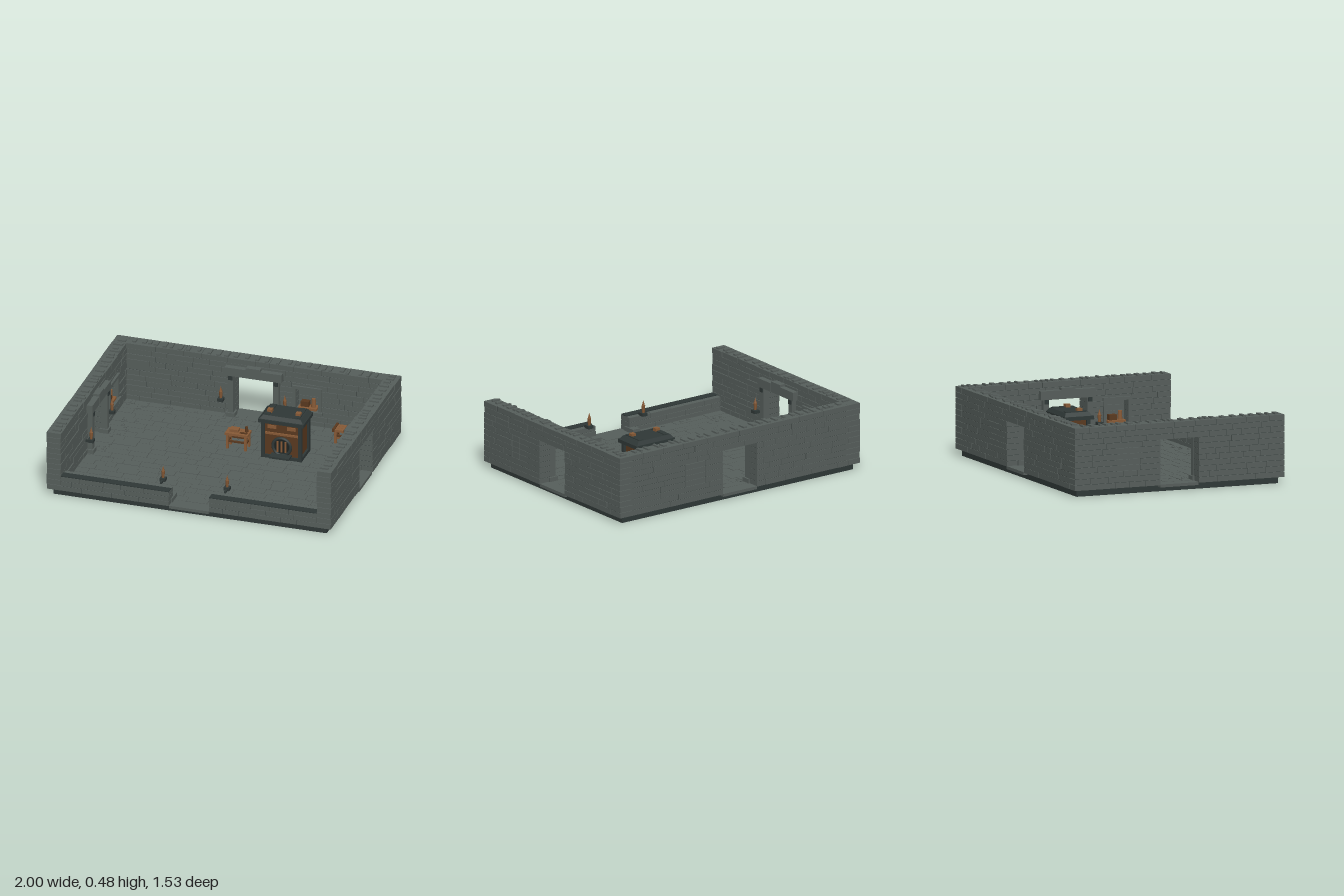
import * as THREE from 'three';
import { mergeGeometries } from 'three/addons/utils/BufferGeometryUtils.js';

const mat = (name, color) => Object.assign(new THREE.MeshStandardMaterial({ color }), { name });

export function createModel() {
  const M = {
    stone: mat('stone', 0x565e5b),
    mortar: mat('mortar', 0x3c4442),
    slate: mat('dark slate', 0x2f3837),
    wood: mat('wood', 0x875a36),
    darkWood: mat('dark wood', 0x5a391f),
    soot: mat('soot', 0x1c2221),
  };
  let seed = 7;
  const rnd = (a = 0, b = 1) => {
    seed = (seed * 16807) % 2147483647;
    return a + (b - a) * (seed / 2147483647);
  };
  const boxGeo = (x0, x1, y0, y1, z0, z1) =>
    new THREE.BoxGeometry(x1 - x0, y1 - y0, z1 - z0).translate((x0 + x1) / 2, (y0 + y1) / 2, (z0 + z1) / 2);
  const add = (parent, name, material, geo) => {
    const m = new THREE.Mesh(geo, material);
    m.name = name;
    parent.add(m);
    return m;
  };
  const box = (parent, name, material, ...b) => add(parent, name, material, boxGeo(...b));
  const group = (parent, name) => {
    const g = new THREE.Group();
    g.name = name;
    parent.add(g);
    return g;
  };

  const model = new THREE.Group();
  model.name = 'stoneRoom';
  const BASE = 0.045, DOOR = 0.14, NICHE = [0.29, 0.45];

  // Foundation and flagstone floor
  box(model, 'foundation', M.slate, -0.96, 0.96, 0, BASE, -0.735, 0.735);
  box(model, 'floorBed', M.stone, -0.91, 0.91, 0.04, 0.048, -0.68, 0.68);
  const tiles = [];
  for (let z = -0.67; z < 0.66; z += 0.067) {
    for (let x = -0.9; x < 0.89;) {
      const x1 = Math.min(0.9, x + rnd(0.07, 0.17));
      tiles.push(boxGeo(x, x1 - 0.003, 0.044, rnd(0.05, 0.053), z, z + 0.064));
      x = x1;
    }
  }
  add(model, 'flagstones', M.stone, mergeGeometries(tiles));
  // Small loose chips gathered near the edges
  const chips = [];
  for (let i = 0; i < 70; i++) {
    let x = rnd(-0.87, 0.87), z = rnd(-0.64, 0.64);
    if (i % 2) x = Math.sign(x) * rnd(0.72, 0.87);
    else z = Math.sign(z) * rnd(0.55, 0.64);
    const w = rnd(0.008, 0.015);
    chips.push(boxGeo(x - w, x + w, 0.046, 0.057, z - 0.007, z + 0.007));
  }
  add(model, 'floorChips', M.stone, mergeGeometries(chips));
  // Thresholds in the four doorways
  for (const s of [-1, 1]) {
    box(model, 'sideThreshold', M.stone, s * 0.945 - 0.05, s * 0.945 + 0.05, 0.03, 0.05, -DOOR, DOOR);
    box(model, 'endThreshold', M.stone, -DOOR, DOOR, 0.03, 0.05, s * 0.715 - 0.05, s * 0.715 + 0.05);
  }

  // Wall torch on a dark bracket, in wall space (inside is +z)
  function torch(parent, x) {
    const t = group(parent, 'torch');
    box(t, 'torchArm', M.slate, x - 0.007, x + 0.007, 0.157, 0.171, 0.04, 0.09);
    box(t, 'torchCup', M.slate, x - 0.02, x + 0.02, 0.16, 0.182, 0.07, 0.11);
    add(t, 'torchHandle', M.wood, new THREE.CylinderGeometry(0.013, 0.009, 0.05, 6).translate(x, 0.205, 0.09));
    add(t, 'torchTip', M.wood, new THREE.ConeGeometry(0.011, 0.04, 6).translate(x, 0.25, 0.09));
  }

  // One wall of bricks along x, 0.1 thick, with a doorway and optional wall niche
  function wall(name, half, rows, rowH, tall) {
    const w = group(model, name), top = BASE + rows * rowH;
    const doorTop = tall ? BASE + 8 * rowH : top, n0 = BASE + 3 * rowH, n1 = BASE + 7 * rowH;
    // Mortar core
    const rect = (P, a, b, c, d) => new P([[a, c], [b, c], [b, d], [a, d]].map(p => new THREE.Vector2(...p)));
    const pieces = [];
    if (tall) {
      const s = rect(THREE.Shape, -half + 0.01, half - 0.01, BASE, top - 0.004);
      s.holes.push(rect(THREE.Path, -DOOR - 0.004, DOOR + 0.004, BASE + 0.001, doorTop + 0.004));
      s.holes.push(rect(THREE.Path, NICHE[0] - 0.004, NICHE[1] + 0.004, n0 - 0.004, n1 + 0.004));
      pieces.push(s);
    } else {
      for (const k of [-1, 1]) {
        const a = k * (DOOR + 0.004), b = k * half;
        pieces.push(rect(THREE.Shape, Math.min(a, b), Math.max(a, b), BASE, top - 0.004));
      }
    }
    add(w, 'mortarCore', M.mortar,
      new THREE.ExtrudeGeometry(pieces, { depth: 0.088, bevelEnabled: false }).translate(0, 0, -0.044));
    // Courses, broken where openings cut them
    const bricks = [];
    for (let r = 0; r < rows; r++) {
      const y = BASE + r * rowH, mid = y + rowH / 2;
      const cuts = [];
      if (mid < doorTop) cuts.push([-DOOR, DOOR]);
      if (tall && mid > n0 && mid < n1) cuts.push(NICHE);
      let start = -half;
      for (const [a, b] of [...cuts, [half, half]]) {
        for (let x = start; x < a - 0.001;) {
          let x1 = x + rnd(0.09, 0.22);
          if (a - x1 < 0.05) x1 = a;
          bricks.push(boxGeo(x + 0.001, x1 - 0.002, y + 0.001, y + rowH - 0.002,
            -0.05 + rnd(0, 0.004), 0.05 + rnd(-0.003, 0.003)));
          x = x1;
        }
        start = b;
      }
    }
    // Raised stones along the crest
    if (tall) {
      for (let x = -half + 0.03; x < half - 0.04; x += rnd(0.035, 0.085)) {
        bricks.push(boxGeo(x, x + rnd(0.015, 0.03), top - 0.01, top + 0.009, rnd(-0.03, -0.01), rnd(0.025, 0.048)));
      }
    }
    add(w, 'bricks', M.stone, mergeGeometries(bricks));

    for (const s of [-1, 1]) {
      const span = (a, b) => [Math.min(s * a, s * b), Math.max(s * a, s * b)];
      torch(w, s * 0.225);
      if (tall) {
        box(w, 'doorJamb', M.stone, ...span(DOOR, 0.18), BASE, doorTop, 0.04, 0.085);
        box(w, 'jambFoot', M.stone, ...span(DOOR - 0.012, 0.192), BASE, 0.08, 0.03, 0.095);
        box(w, 'lintelBracket', M.slate, ...span(0.145, 0.175), doorTop - 0.03, doorTop, 0.08, 0.092);
      } else {
        box(w, 'endPost', M.stone, ...span(DOOR - 0.008, 0.19), BASE, 0.08, 0, 0.1);
        box(w, 'lowWallCap', M.slate, ...span(DOOR + 0.002, half), top - 0.006, top + 0.004, -0.046, 0.01);
      }
    }
    if (!tall) return w;
    // Lintel of three stones
    for (const [a, b, h] of [[-0.2, -0.052, 0.06], [-0.05, 0.05, 0.075], [0.052, 0.2, 0.06]]) {
      box(w, 'lintelStone', M.stone, a, b, doorTop, doorTop + h, 0.04, 0.09);
    }
    // Niche: blocked with small stones outside, framed inside, holding a wooden rack
    const [a, b] = NICHE, cw = (b - a) / 2;
    for (let i = 0; i < 2; i++) {
      for (let r = 0; r < 4; r++) {
        const y = n0 + r * rowH;
        box(w, 'nicheBlock', M.stone, a + i * cw, a + (i + 1) * cw - 0.002, y, y + rowH - 0.002, -0.047, -0.012);
      }
    }
    box(w, 'nicheSill', M.stone, a - 0.03, b + 0.03, n0 - 0.018, n0 + 0.002, 0.03, 0.075);
    box(w, 'nicheHead', M.stone, a - 0.025, b + 0.025, n1, n1 + 0.022, 0.04, 0.066);
    for (const x of [a - 0.02, b]) box(w, 'nicheSide', M.stone, x, x + 0.02, n0, n1, 0.04, 0.062);
    box(w, 'nicheShelf', M.wood, a + 0.015, b - 0.015, n0 + 0.002, n0 + 0.018, -0.01, 0.055);
    box(w, 'nicheBox', M.darkWood, a + 0.03, a + 0.085, n0 + 0.018, n0 + 0.055, 0, 0.04);
    add(w, 'nicheJar', M.wood, new THREE.CylinderGeometry(0.014, 0.018, 0.06, 8).translate(b - 0.045, n0 + 0.048, 0.02));
    return w;
  }
  const ROW = 0.425 / 11;
  wall('backWall', 0.9, 11, ROW, true).position.z = -0.715;
  for (const s of [-1, 1]) {
    const side = wall(s < 0 ? 'rightWall' : 'leftWall', 0.765, 11, ROW, true);
    side.position.x = s * 0.95;
    side.rotation.y = -s * Math.PI / 2;
  }
  const front = wall('frontLowWall', 0.9, 3, 0.035, false);
  front.position.z = 0.715;
  front.rotation.y = Math.PI;

  // Furnace: wooden body, slate corners and a stepped slate hood
  const f = group(model, 'furnace');
  f.position.set(0.365, 0, -0.21);
  box(f, 'furnaceBody', M.darkWood, -0.125, 0.125, 0.05, 0.32, -0.085, 0.08);
  box(f, 'furnacePlinth', M.slate, -0.14, 0.14, 0.045, 0.075, -0.095, 0.09);
  for (const x of [-1, 1]) {
    for (const z of [-0.085, 0.08]) {
      box(f, 'cornerPost', M.slate, x * 0.13 - 0.012, x * 0.13 + 0.012, 0.05, 0.32, z - 0.012, z + 0.012);
    }
    box(f, 'upperPanel', M.wood, x * 0.068 - 0.03, x * 0.068 + 0.03, 0.272, 0.295, 0.08, 0.088);
    box(f, 'hoodPeg', M.wood, x * 0.1 - 0.017, x * 0.1 + 0.017, 0.34, 0.388, 0.01, 0.045);
    box(f, 'hoodStrap', M.slate, x * 0.105 - 0.018, x * 0.105 + 0.018, 0.352, 0.371, -0.08, 0.075);
  }
  box(f, 'hoodRim', M.slate, -0.16, 0.16, 0.315, 0.34, -0.102, 0.108);
  const hood = new THREE.CylinderGeometry(0.85, 1, 0.027, 4, 1).rotateY(Math.PI / 4);
  hood.scale(0.155 * Math.SQRT2, 1, 0.1 * Math.SQRT2).translate(0, 0.352, 0);
  add(f, 'hoodTop', M.slate, hood.toNonIndexed()).geometry.computeVertexNormals();
  box(f, 'crossBand', M.wood, -0.115, 0.115, 0.228, 0.242, 0.08, 0.09);
  add(f, 'fireMouth', M.soot, new THREE.CylinderGeometry(0.055, 0.055, 0.006, 16).rotateX(Math.PI / 2).translate(0, 0.145, 0.083));
  add(f, 'mouthRing', M.slate, new THREE.TorusGeometry(0.062, 0.011, 6, 20).translate(0, 0.145, 0.085));
  for (let i = -1; i <= 1; i++) {
    box(f, 'grateBar', M.wood, i * 0.027 - 0.006, i * 0.027 + 0.006, 0.105, 0.185, 0.083, 0.092);
  }
  box(f, 'ashShelf', M.slate, -0.07, 0.07, 0.078, 0.092, 0.08, 0.148);

  // Work table and small stool share one frame builder
  function table(name, x, z, hw, hd, top) {
    const t = group(model, name);
    t.position.set(x, 0, z);
    for (let i = 0; i < 3; i++) {
      const z0 = -hd + i * hd * 2 / 3;
      box(t, 'topPlank', M.wood, -hw, hw, top - 0.016, top, z0, z0 + hd * 2 / 3 - 0.002);
    }
    for (const sx of [-1, 1]) {
      const lx = sx * (hw - 0.016);
      for (const sz of [-1, 1]) {
        const lz = sz * (hd - 0.012);
        box(t, 'leg', M.wood, lx - 0.008, lx + 0.008, 0.05, top - 0.015, lz - 0.008, lz + 0.008);
      }
      box(t, 'endRail', M.darkWood, lx - 0.005, lx + 0.005, 0.095, 0.108, -hd + 0.012, hd - 0.012);
      box(t, 'sideRail', M.darkWood, -hw + 0.016, hw - 0.016, 0.102, 0.115,
        sx * (hd - 0.012) - 0.005, sx * (hd - 0.012) + 0.005);
    }
    return t;
  }
  const work = table('workTable', 0.033, -0.205, 0.08, 0.047, 0.17);
  box(work, 'tableBox', M.wood, -0.055, 0.005, 0.17, 0.188, -0.03, 0.02);
  add(work, 'tableCup', M.darkWood, new THREE.CylinderGeometry(0.01, 0.012, 0.036, 8).translate(0.055, 0.188, -0.015));
  box(work, 'tableTool', M.darkWood, 0.02, 0.07, 0.17, 0.178, 0.015, 0.027);
  const stool = table('stool', 0.662, -0.5, 0.045, 0.045, 0.155);
  for (const s of [-1, 1]) {
    box(stool, 'stoolEdge', M.darkWood, s * 0.04 - 0.008, s * 0.04 + 0.008, 0.14, 0.162, -0.05, 0.05);
  }
  return model;
}
